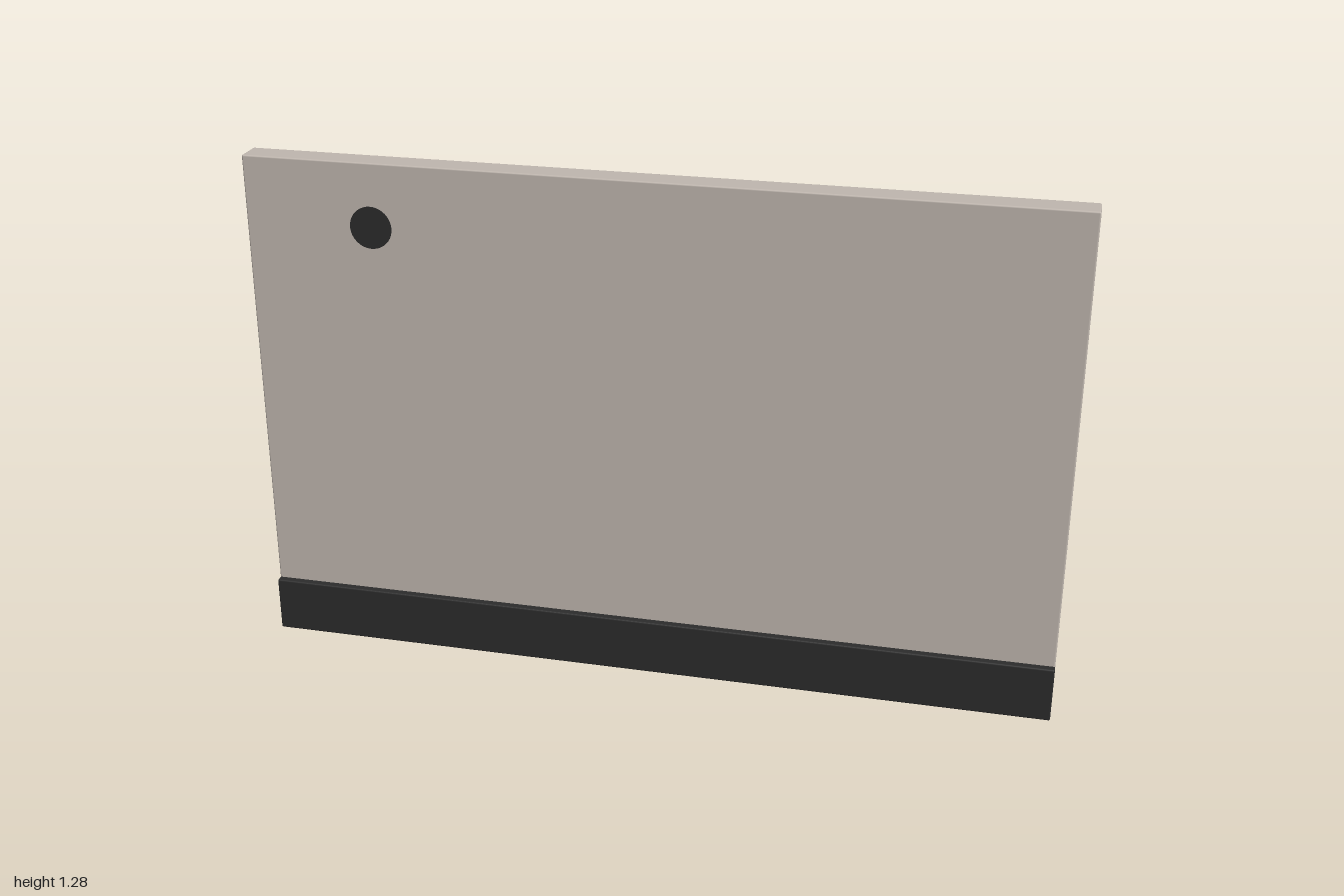
import * as THREE from 'three';
import { RoundedBoxGeometry } from 'three/addons/geometries/RoundedBoxGeometry.js';

const panelColour = new THREE.MeshStandardMaterial({ name: 'warm grey', color: 0xc0b7af });
const darkColour = new THREE.MeshStandardMaterial({ name: 'charcoal', color: 0x2c2c2c });

// Upright slab spanning the full width between two heights
function slab(name, bottom, top, depth, material) {
  const mesh = new THREE.Mesh(new RoundedBoxGeometry(2, top - bottom, depth, 2, 0.004), material);
  mesh.name = name;
  mesh.position.y = (bottom + top) / 2;
  return mesh;
}

export function createModel() {
  const model = new THREE.Group();
  model.name = 'partitionPanel';

  // Thin upright panel seated in a slightly thicker base rail
  model.add(slab('panel', 0.12, 1.28, 0.07, panelColour));
  model.add(slab('baseRail', 0, 0.142, 0.106, darkColour));

  // Round dark spot on the front, near the upper corner
  const spot = new THREE.Mesh(new THREE.CylinderGeometry(0.052, 0.052, 0.006, 40), darkColour);
  spot.name = 'roundSpot';
  spot.rotation.x = Math.PI / 2;
  spot.position.set(-0.683, 1.122, 0.034);
  model.add(spot);

  return model;
}
